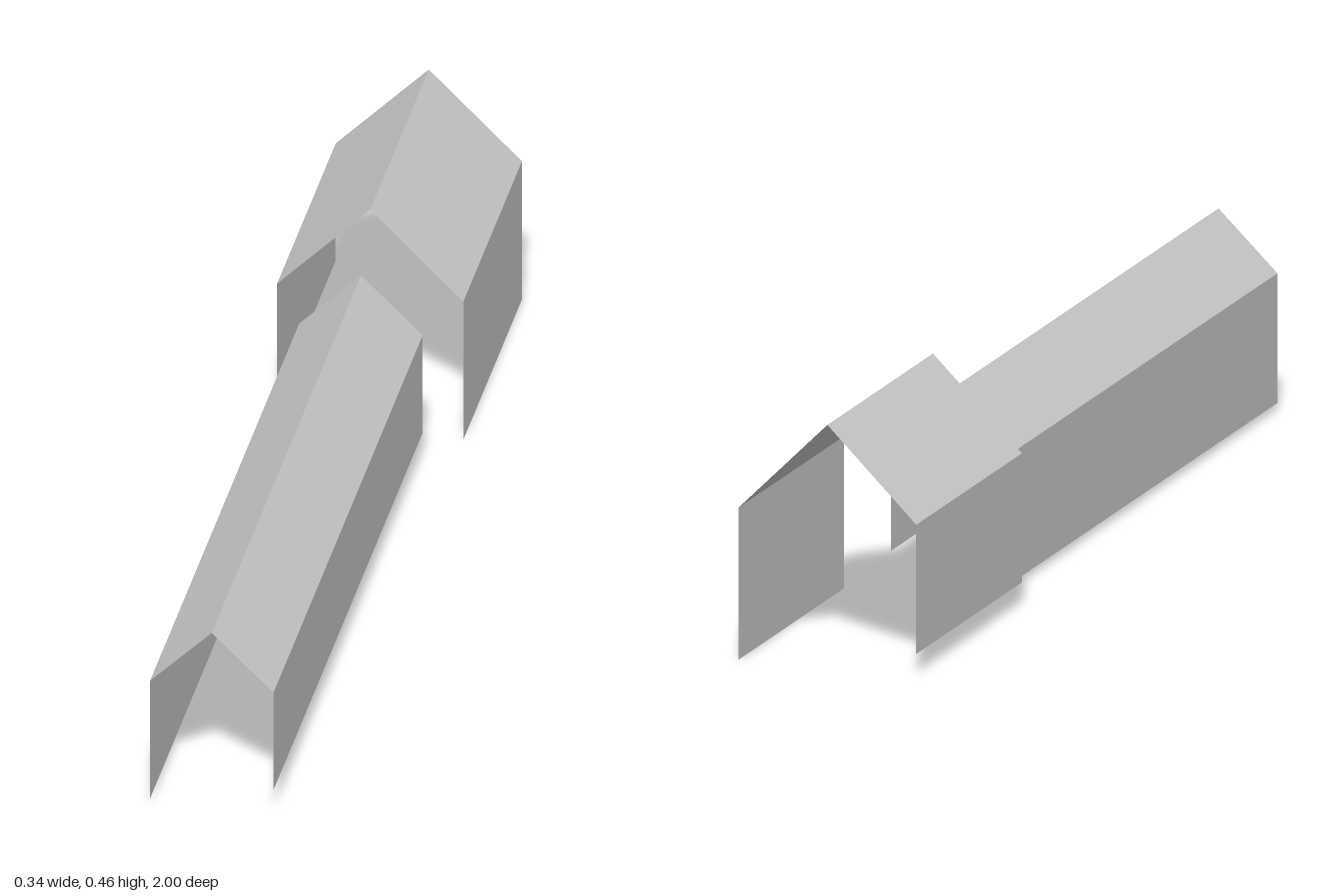
import * as THREE from 'three';

const material = new THREE.MeshStandardMaterial({
  color: 0xcccccc, flatShading: true, side: THREE.DoubleSide,
});

// Thin flat panel between two profile points, swept from zBack to zFront.
function panel(name, [ax, ay], [bx, by], zBack, zFront) {
  const geometry = new THREE.BufferGeometry();
  geometry.setAttribute('position', new THREE.Float32BufferAttribute([
    ax, ay, zFront, bx, by, zFront, bx, by, zBack, ax, ay, zBack,
  ], 3));
  geometry.setIndex([0, 1, 2, 0, 2, 3]);
  geometry.computeVertexNormals();
  const mesh = new THREE.Mesh(geometry, material);
  mesh.name = name;
  return mesh;
}

// Open-ended gabled shell: two walls and two roof slopes.
function gabledShell(name, { halfWidth, ridge, eave, leftBase, rightBase, zBack, zFront }) {
  const group = new THREE.Group();
  group.name = name;
  const profile = [
    [halfWidth, leftBase], [halfWidth, eave], [0, ridge],
    [-halfWidth, eave], [-halfWidth, rightBase],
  ];
  ['leftWall', 'leftRoof', 'rightRoof', 'rightWall'].forEach((part, i) => {
    group.add(panel(part, profile[i], profile[i + 1], zBack, zFront));
  });
  return group;
}

export function createModel() {
  const model = new THREE.Group();
  model.name = 'gabledBuildings';

  // Long low hall at the front
  model.add(gabledShell('longHall', {
    halfWidth: 0.114, ridge: 0.366, eave: 0.255,
    leftBase: 0.054, rightBase: 0.012, zBack: -0.375, zFront: 1,
  }));

  // Shorter, taller block at the back
  model.add(gabledShell('rearBlock', {
    halfWidth: 0.172, ridge: 0.456, eave: 0.285,
    leftBase: 0, rightBase: 0.043, zBack: -1, zFront: -0.46,
  }));

  return model;
}
